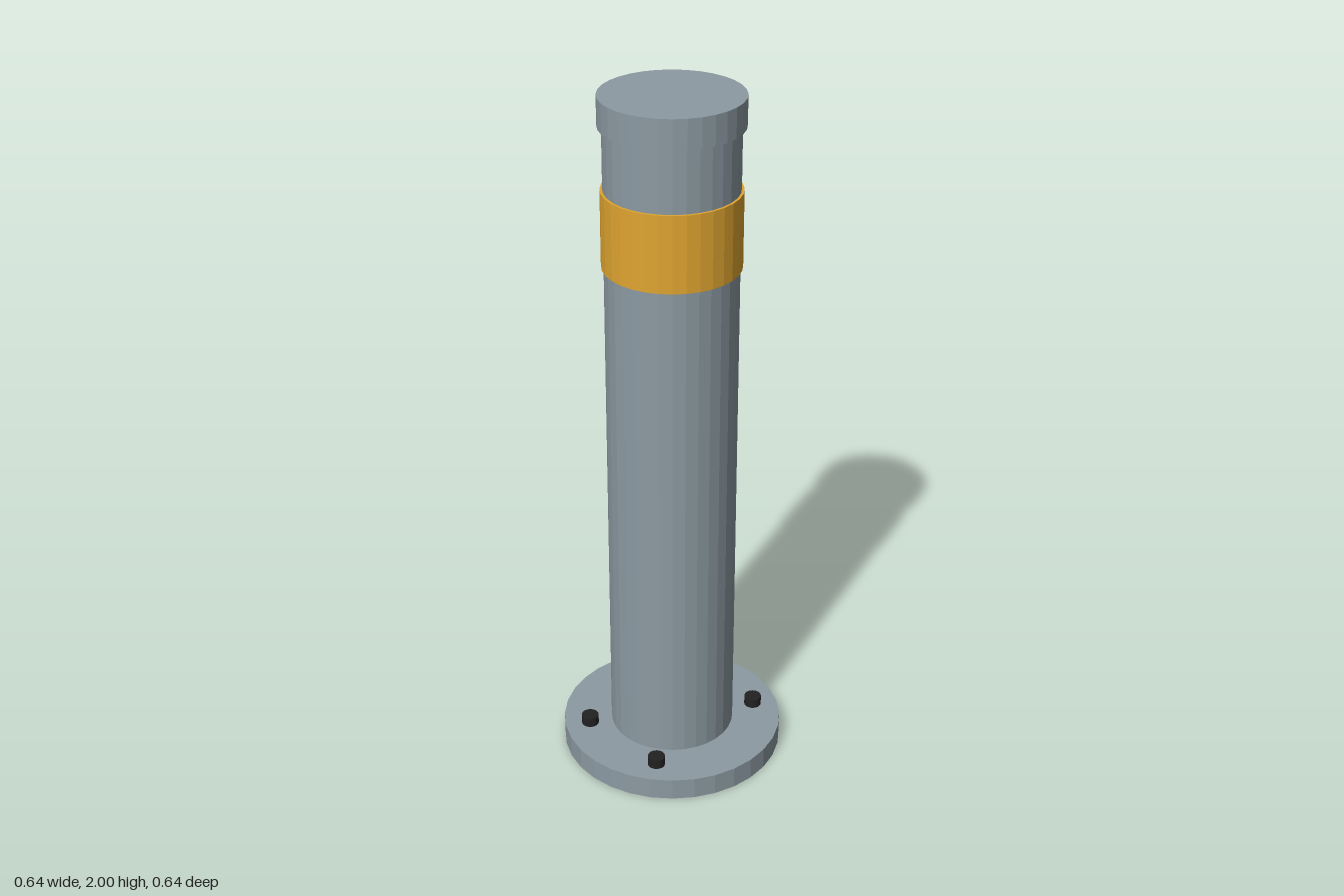
import * as THREE from 'three';

const SIDES = 32;

export function createModel() {
  const model = new THREE.Group();
  model.name = 'bollard';

  const material = (name, color) => {
    const m = new THREE.MeshStandardMaterial({ color, flatShading: true });
    m.name = name;
    return m;
  };
  const steel = material('greySteel', 0x8c9aa2);
  const amber = material('amberBand', 0xe0a530);
  const black = material('blackBolt', 0x222222);

  // Upright cylinder between two heights
  const drum = (name, radius, bottom, top, mat, sides = SIDES, x = 0, z = 0) => {
    const mesh = new THREE.Mesh(new THREE.CylinderGeometry(radius, radius, top - bottom, sides), mat);
    mesh.position.set(x, (bottom + top) / 2, z);
    mesh.name = name;
    model.add(mesh);
  };

  drum('basePlate', 0.322, 0, 0.065, steel);
  drum('post', 0.181, 0.065, 1.92, steel);
  drum('reflectiveBand', 0.188, 1.53, 1.745, amber);
  drum('cap', 0.193, 1.918, 2, steel);

  // Four anchor bolts on the base plate
  for (const x of [-0.205, 0.205]) {
    for (const z of [-0.14, 0.14]) drum('anchorBolt', 0.025, 0.06, 0.094, black, 16, x, z);
  }

  return model;
}
